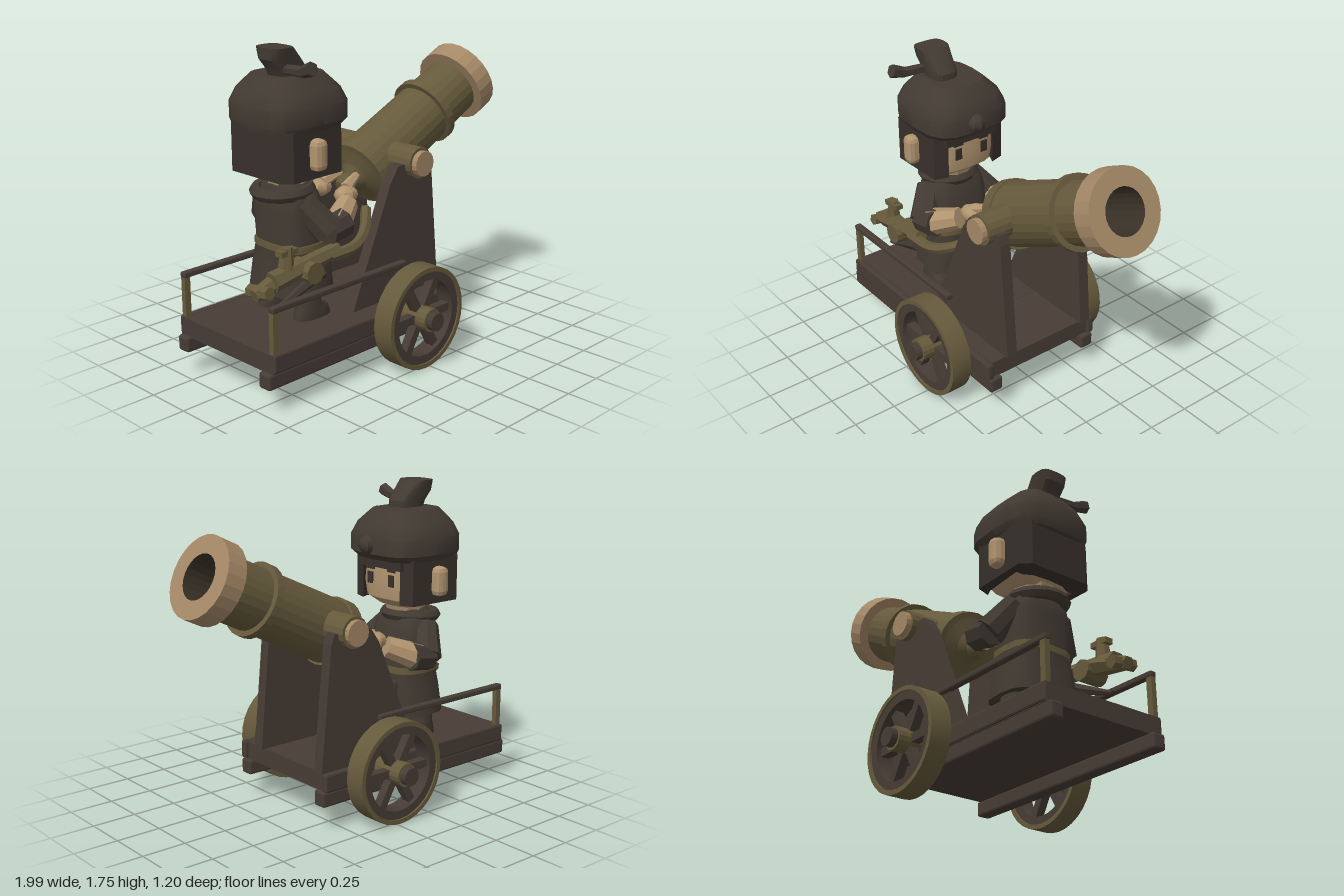
import * as THREE from 'three';
import { toCreasedNormals } from 'three/addons/utils/BufferGeometryUtils.js';
import { RoundedBoxGeometry } from 'three/addons/geometries/RoundedBoxGeometry.js';

const material = (name, color) => {
  const m = new THREE.MeshStandardMaterial({ color });
  m.name = name;
  return m;
};

export function createModel() {
  const wood = material('dark wood', 0x473c35);
  const bronze = material('bronze', 0x665a3c);
  const tan = material('pale brass', 0xa58867);
  const skin = material('skin', 0xb0946f);
  const cloth = material('dark cloth', 0x423a32);
  const hairMat = material('hair', 0x38302b);
  const bore = material('bore', 0x3a3328);
  const model = new THREE.Group();

  const add = (parent, name, geo, mat, x = 0, y = 0, z = 0, crease = 0.2) => {
    const m = new THREE.Mesh(crease === null ? geo : toCreasedNormals(geo, crease), mat);
    m.name = name;
    m.position.set(x, y, z);
    parent.add(m);
    return m;
  };
  const box = (parent, name, mat, w, h, d, x, y, z, r = 0) =>
    add(parent, name, r ? new RoundedBoxGeometry(w, h, d, 1, r) : new THREE.BoxGeometry(w, h, d), mat, x, y, z);
  // tapered rod between two points
  const rod = (parent, name, mat, a, b, ra, rb = ra, sides = 8) => {
    const p = new THREE.Vector3(...a), q = new THREE.Vector3(...b), d = q.clone().sub(p);
    const m = add(parent, name, new THREE.CylinderGeometry(rb, ra, d.length(), sides), mat);
    m.position.copy(p).add(q).multiplyScalar(0.5);
    m.quaternion.setFromUnitVectors(new THREE.Vector3(0, 1, 0), d.normalize());
    return m;
  };
  // cylinder along z
  const zCyl = (parent, name, mat, r, z0, z1, x, y, sides = 16) =>
    rod(parent, name, mat, [x, y, z0], [x, y, z1], r, r, sides);
  // rounded-square cross-sections [y, centre x, half x, half z, centre z]
  const loft = (parent, name, mat, sections, power = 0.6, crease = 0.7) => {
    const n = 16, pos = [], idx = [];
    const first = sections[0], last = sections.at(-1);
    const rows = [[first[0], first[1], 0.001, 0.001, first[4]], ...sections, [last[0], last[1], 0.001, 0.001, last[4]]];
    const bend = v => Math.sign(v) * Math.abs(v) ** power;
    rows.forEach(([y, cx, rx, rz, cz = 0], i) => {
      for (let j = 0; j < n; j++) {
        const a = (j / n) * Math.PI * 2;
        pos.push(cx + rx * bend(Math.cos(a)), y, cz + rz * bend(Math.sin(a)));
        if (i === rows.length - 1) continue;
        const p = i * n + j, q = i * n + (j + 1) % n;
        idx.push(p, p + n, q, q, p + n, q + n);
      }
    });
    const g = new THREE.BufferGeometry();
    g.setAttribute('position', new THREE.Float32BufferAttribute(pos, 3));
    g.setIndex(idx);
    return add(parent, name, g, mat, 0, 0, 0, crease);
  };
  const shapeOf = pts => new THREE.Shape(pts.map(p => new THREE.Vector2(...p)));

  // Carriage bed
  const carriage = new THREE.Group();
  carriage.name = 'carriage';
  model.add(carriage);
  box(carriage, 'bed', wood, 1.32, 0.1, 0.73, -0.31, 0.27, 0);
  for (const s of [1, -1]) {
    box(carriage, 'runner', wood, 1.375, 0.085, 0.08, -0.31, 0.183, s * 0.323, 0.012);
    box(carriage, 'bedEdge', wood, 1.34, 0.1, 0.04, -0.3, 0.275, s * 0.355, 0.01);
    // railing
    box(carriage, 'railPost', bronze, 0.035, 0.23, 0.03, -0.945, 0.435, s * 0.345);
    box(carriage, 'rail', wood, 0.95, 0.032, 0.04, -0.49, 0.553, s * 0.345, 0.008);
    // wheel
    const wheel = new THREE.Group();
    wheel.name = 'wheel';
    wheel.position.set(-0.027, 0.286, s * 0.466);
    carriage.add(wheel);
    const annulus = (name, mat, R, r, d) => {
      const ring = new THREE.Shape().absarc(0, 0, R, 0, Math.PI * 2, false);
      ring.holes.push(new THREE.Path().absarc(0, 0, r, 0, Math.PI * 2, true));
      add(wheel, name, new THREE.ExtrudeGeometry(ring, { depth: d, bevelEnabled: false, curveSegments: 16 }), mat, 0, 0, -d / 2);
    };
    annulus('tyre', bronze, 0.283, 0.258, 0.12);
    annulus('rim', wood, 0.26, 0.212, 0.1);
    for (let i = 0; i < 3; i++)
      box(wheel, 'spokes', wood, 0.46, 0.045, 0.05, 0, 0, 0).rotation.z = i * Math.PI / 3;
    zCyl(wheel, 'hub', bronze, 0.064, -0.095, 0.095, 0, 0);
    zCyl(wheel, 'axleEnd', wood, 0.05, s * 0.05, s * 0.133, 0, 0);
  }
  zCyl(carriage, 'axle', wood, 0.04, -0.45, 0.45, -0.027, 0.286, 12);
  // Cheek plates
  const cheek = shapeOf([[-0.3, 0.32], [0.37, 0.32], [0.305, 1.0], [0.285, 1.055], [0.04, 1.055], [-0.02, 0.97]]);
  for (const z of [0.18, -0.34])
    add(carriage, 'cheekPlate', new THREE.ExtrudeGeometry(cheek, { depth: 0.065, bevelEnabled: false }), wood, 0, 0, z);

  // Barrel, muzzle at the local origin, pointing along local +y
  const gun = new THREE.Group();
  gun.name = 'cannon';
  gun.position.set(0.9, 1.387, -0.047);
  gun.rotation.z = -THREE.MathUtils.degToRad(64);
  model.add(gun);
  const lathe = (name, mat, pts) => add(gun, name,
    new THREE.LatheGeometry(pts.map(p => new THREE.Vector2(...p)), 24), mat);
  lathe('barrel', bronze, [[0.001, -1.12], [0.045, -1.11], [0.065, -1.07], [0.05, -1.03], [0.09, -1.0], [0.16, -0.975],
    [0.193, -0.97], [0.193, -0.9], [0.18, -0.9], [0.172, -0.39], [0.2, -0.39], [0.2, -0.345], [0.17, -0.345], [0.168, -0.1]]);
  lathe('muzzleBand', tan, [[0.16, -0.115], [0.222, -0.115], [0.222, 0], [0.122, 0]]);
  lathe('bore', bore, [[0.122, 0], [0.122, -0.35], [0.001, -0.35]]);
  zCyl(model, 'trunnion', bronze, 0.086, -0.375, 0.28, 0.176, 1.055, 16);
  zCyl(model, 'trunnionCap', tan, 0.07, -0.403, 0.312, 0.176, 1.055, 16);

  // Gunner, facing +x
  const man = new THREE.Group();
  man.name = 'gunner';
  man.position.z = -0.03;
  model.add(man);
  for (const s of [1, -1]) {
    loft(man, 'boot', cloth, [[0.32, -0.475, 0.115, 0.06, s * 0.14], [0.37, -0.48, 0.1, 0.06, s * 0.14],
      [0.4, -0.5, 0.07, 0.055, s * 0.14], [0.52, -0.5, 0.07, 0.055, s * 0.13]], 0.8);
  }
  loft(man, 'coat', cloth, [[0.45, -0.49, 0.17, 0.22], [0.6, -0.485, 0.16, 0.2], [0.72, -0.485, 0.145, 0.175],
    [0.9, -0.5, 0.14, 0.18], [0.99, -0.51, 0.12, 0.16], [1.05, -0.51, 0.09, 0.1]]);
  loft(man, 'belt', bronze, [[0.69, -0.485, 0.153, 0.185], [0.725, -0.485, 0.153, 0.185]]);
  box(man, 'pouch', cloth, 0.06, 0.17, 0.24, -0.33, 0.57, 0, 0.02);
  const scarf = add(man, 'scarf', new THREE.TorusGeometry(0.14, 0.034, 6, 16), cloth, -0.54, 1.0, 0, 0.7);
  scarf.rotation.set(Math.PI / 2, 0.06, 0);
  rod(man, 'neck', skin, [-0.5, 1.03, 0], [-0.5, 1.1, 0], 0.11, 0.13, 10);
  // Arms
  for (const s of [1, -1]) {
    rod(man, 'sleeve', cloth, [-0.53, 0.95, s * 0.14], [-0.44, 0.8, s * 0.24], 0.07, 0.085);
    rod(man, 'cuff', cloth, [-0.46, 0.8, s * 0.24], [-0.33, 0.82, s * 0.23], 0.075, 0.08);
    rod(man, 'forearm', skin, [-0.38, 0.81, s * 0.23], [-0.22, 0.88, s * 0.15], 0.078, 0.06);
    const hand = add(man, 'hand', new THREE.SphereGeometry(0.062, 8, 6), skin, -0.18, 0.91, s * 0.1, 0.7);
    hand.scale.set(1.2, 0.8, 0.9);
    rod(man, 'fingers', skin, [-0.17, 0.94, s * 0.09], [-0.06, 0.985, s * 0.06], 0.035, 0.022, 6);
  }

  // Head with open-fronted hair
  loft(man, 'head', skin, [[1.065, -0.49, 0.11, 0.13], [1.11, -0.485, 0.165, 0.19], [1.2, -0.485, 0.175, 0.205], [1.36, -0.5, 0.17, 0.2]]);
  const hair = shapeOf([[-0.315, 0.15], [-0.34, 0.23], [-0.67, 0.235], [-0.72, 0.18], [-0.72, -0.18], [-0.67, -0.235],
    [-0.34, -0.23], [-0.315, -0.15], [-0.36, -0.17], [-0.6, -0.19], [-0.6, 0.19], [-0.36, 0.17]]);
  const hairMesh = add(man, 'hair', new THREE.ExtrudeGeometry(hair, { depth: 0.255, bevelEnabled: false }), hairMat, 0, 1.35, 0);
  hairMesh.rotation.x = Math.PI / 2;
  box(man, 'fringe', hairMat, 0.03, 0.06, 0.34, -0.315, 1.315, 0);
  for (const s of [1, -1]) {
    box(man, 'ear', skin, 0.085, 0.165, 0.09, -0.52, 1.22, s * 0.245, 0.03);
    box(man, 'eye', hairMat, 0.008, 0.065, 0.04, -0.309, 1.22, s * 0.085);
    box(man, 'eyebrow', hairMat, 0.008, 0.012, 0.06, -0.311, 1.275, s * 0.085);
  }
  // Cap with badge, knot and tail
  loft(man, 'cap', cloth, [[1.33, -0.51, 0.2, 0.2], [1.335, -0.505, 0.24, 0.24], [1.37, -0.49, 0.265, 0.26],
    [1.46, -0.49, 0.265, 0.26], [1.53, -0.49, 0.235, 0.225], [1.605, -0.495, 0.17, 0.15]], 0.6, 0.5);
  add(man, 'capBadge', new THREE.SphereGeometry(0.055, 8, 6), cloth, -0.235, 1.42, 0.02, 0.7);
  loft(man, 'capKnot', cloth, [[1.59, -0.53, 0.09, 0.07, 0.04], [1.64, -0.54, 0.1, 0.075, 0.04],
    [1.69, -0.58, 0.1, 0.08, 0.04], [1.75, -0.61, 0.07, 0.09, 0.04]], 0.6, 0.5).name = 'capKnot';
  rod(man, 'capTail', cloth, [-0.59, 1.64, 0.06], [-0.6, 1.645, 0.24], 0.025, 0.03, 6);
  rod(man, 'tailEnd', cloth, [-0.6, 1.645, 0.23], [-0.605, 1.67, 0.305], 0.03, 0.038, 6);

  // Slung firearm at the gunner's side
  const arm = new THREE.Group();
  arm.name = 'slungFirearm';
  model.add(arm);
  rod(arm, 'firearmBody', bronze, [-0.84, 0.63, 0.22], [-0.42, 0.71, 0.25], 0.055, 0.04, 6);
  rod(arm, 'stock', bronze, [-0.94, 0.58, 0.2], [-0.74, 0.64, 0.21], 0.035, 0.055, 6);
  rod(arm, 'stockLug', bronze, [-0.9, 0.58, 0.12], [-0.9, 0.6, 0.27], 0.035, 0.035, 6);
  rod(arm, 'sight', bronze, [-0.75, 0.66, 0.22], [-0.74, 0.79, 0.22], 0.045, 0.03, 6);
  box(arm, 'sightBar', bronze, 0.11, 0.03, 0.05, -0.74, 0.765, 0.22);
  zCyl(arm, 'drum', bronze, 0.058, 0.17, 0.31, -0.63, 0.645, 10);
  const path = new THREE.CatmullRomCurve3([[-0.5, 0.69, 0.27], [-0.3, 0.7, 0.26], [-0.17, 0.75, 0.2], [-0.08, 0.82, 0.12]]
    .map(p => new THREE.Vector3(...p)));
  add(arm, 'firearmTube', new THREE.TubeGeometry(path, 12, 0.03, 6), bronze, 0, 0, 0, 0.7);
  rod(arm, 'strap', cloth, [-0.82, 0.46, 0.2], [-0.5, 0.6, 0.22], 0.012, 0.035, 6);
  return model;
}
